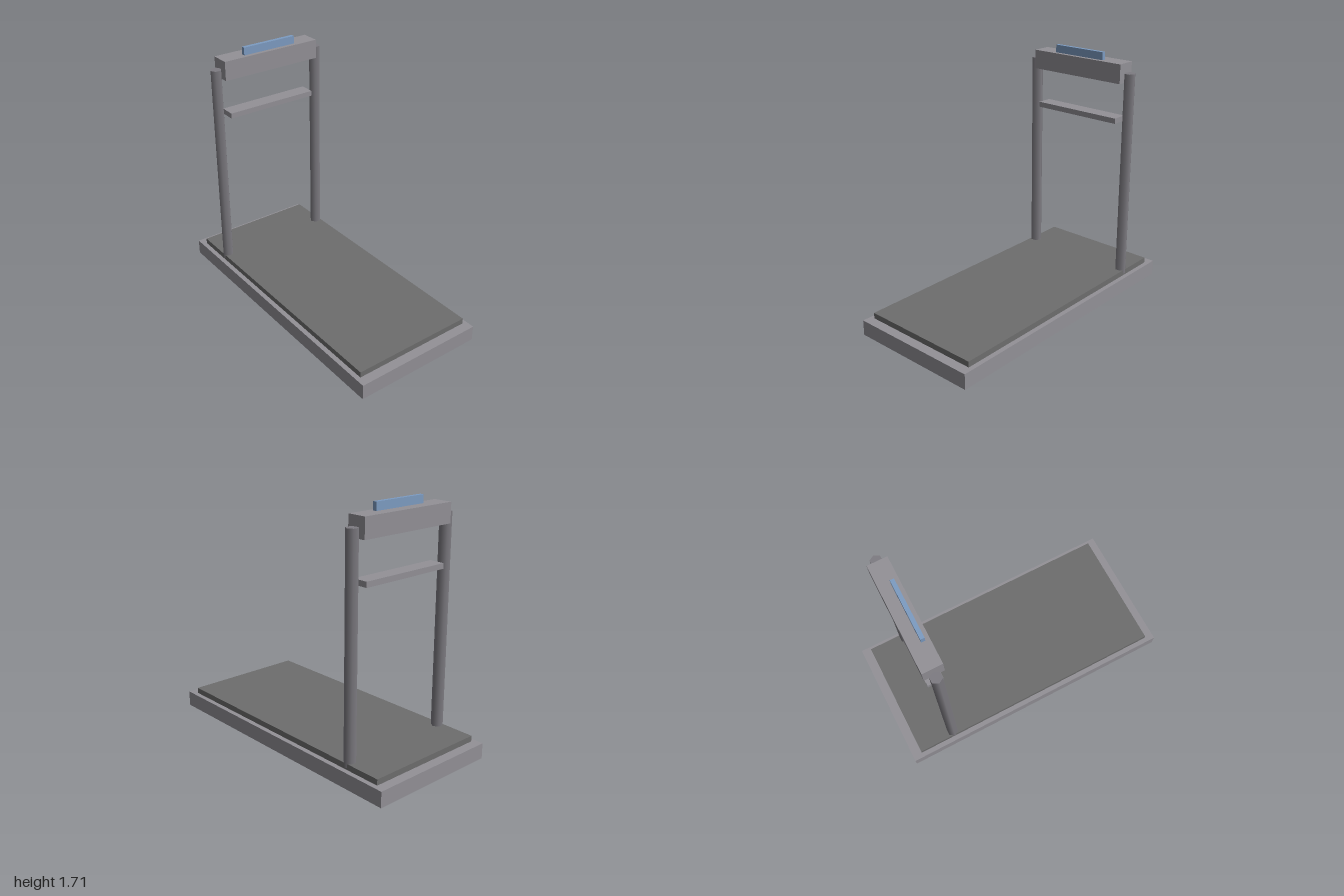
import * as THREE from 'three';

const material = (color) => new THREE.MeshStandardMaterial({ color });

export function createModel() {
  const model = new THREE.Group();
  model.name = 'treadmill';
  const frame = material(0x939197);
  const postMetal = material(0x7e7c82);
  const rubber = material(0x6e6e6e);
  const blue = material(0x7d9cc2);

  // Box given by its size, bottom height and z centre, centred on x = 0
  const addBox = (name, mat, w, h, d, bottom, z = 0) => {
    const mesh = new THREE.Mesh(new THREE.BoxGeometry(w, h, d), mat);
    mesh.name = name;
    mesh.position.set(0, bottom + h / 2, z);
    model.add(mesh);
  };

  // Deck and running belt
  addBox('base', frame, 0.933, 0.107, 2, 0);
  addBox('runningBelt', rubber, 0.867, 0.04, 1.867, 0.107);

  // Six-sided uprights, a corner pointing outwards
  const postZ = -0.667;
  const postGeometry = new THREE.CylinderGeometry(0.04, 0.04, 1.467, 6, 1, false, Math.PI / 6);
  for (const side of [-1, 1]) {
    const post = new THREE.Mesh(postGeometry, postMetal);
    post.name = side > 0 ? 'leftPost' : 'rightPost';
    post.position.set(side * 0.4, 0.12 + 1.467 / 2, postZ);
    model.add(post);
  }

  // Handlebar, console and its display
  addBox('handlebar', frame, 0.667, 0.037, 0.107, 1.237, postZ);
  addBox('console', frame, 0.733, 0.133, 0.133, 1.52, postZ);
  addBox('display', blue, 0.4, 0.067, 0.027, 1.64, -0.642);

  return model;
}
